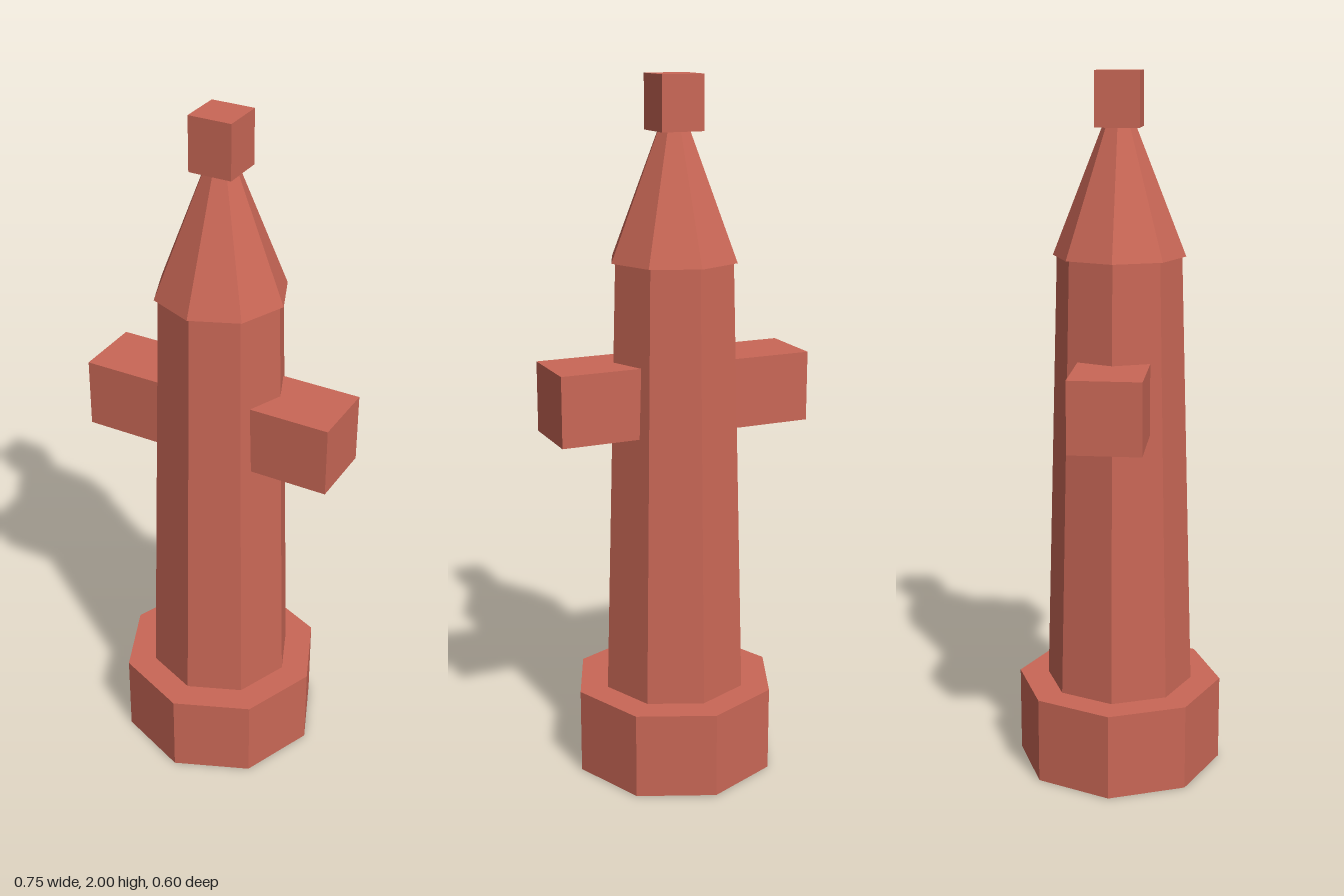
import * as THREE from 'three';

export function createModel() {
  const hydrant = new THREE.Group();
  hydrant.name = 'hydrant';
  const red = new THREE.MeshStandardMaterial({ color: 0xc96756, flatShading: true });
  red.name = 'brick red';

  const add = (name, geometry, x, y) => {
    const mesh = new THREE.Mesh(geometry, red);
    mesh.name = name;
    mesh.position.set(x, y, 0);
    hydrant.add(mesh);
  };
  // Eight-sided tapered section standing between two heights
  const section = (name, rBottom, rTop, y0, y1) =>
    add(name, new THREE.CylinderGeometry(rTop, rBottom, y1 - y0, 8), 0, (y0 + y1) / 2);

  section('base', 0.298, 0.298, 0, 0.25);
  section('barrel', 0.2125, 0.175, 0.25, 1.5);
  section('bonnet', 0.186, 0.0375, 1.5, 1.875);

  // Square operating nut on top
  add('topNut', new THREE.BoxGeometry(0.123, 0.15, 0.123), 0, 1.925);

  // Side outlets, starting inside the barrel
  for (const [name, side] of [['leftOutlet', 1], ['rightOutlet', -1]]) {
    add(name, new THREE.BoxGeometry(0.293, 0.2, 0.2), side * 0.2265, 1.125);
  }
  return hydrant;
}
